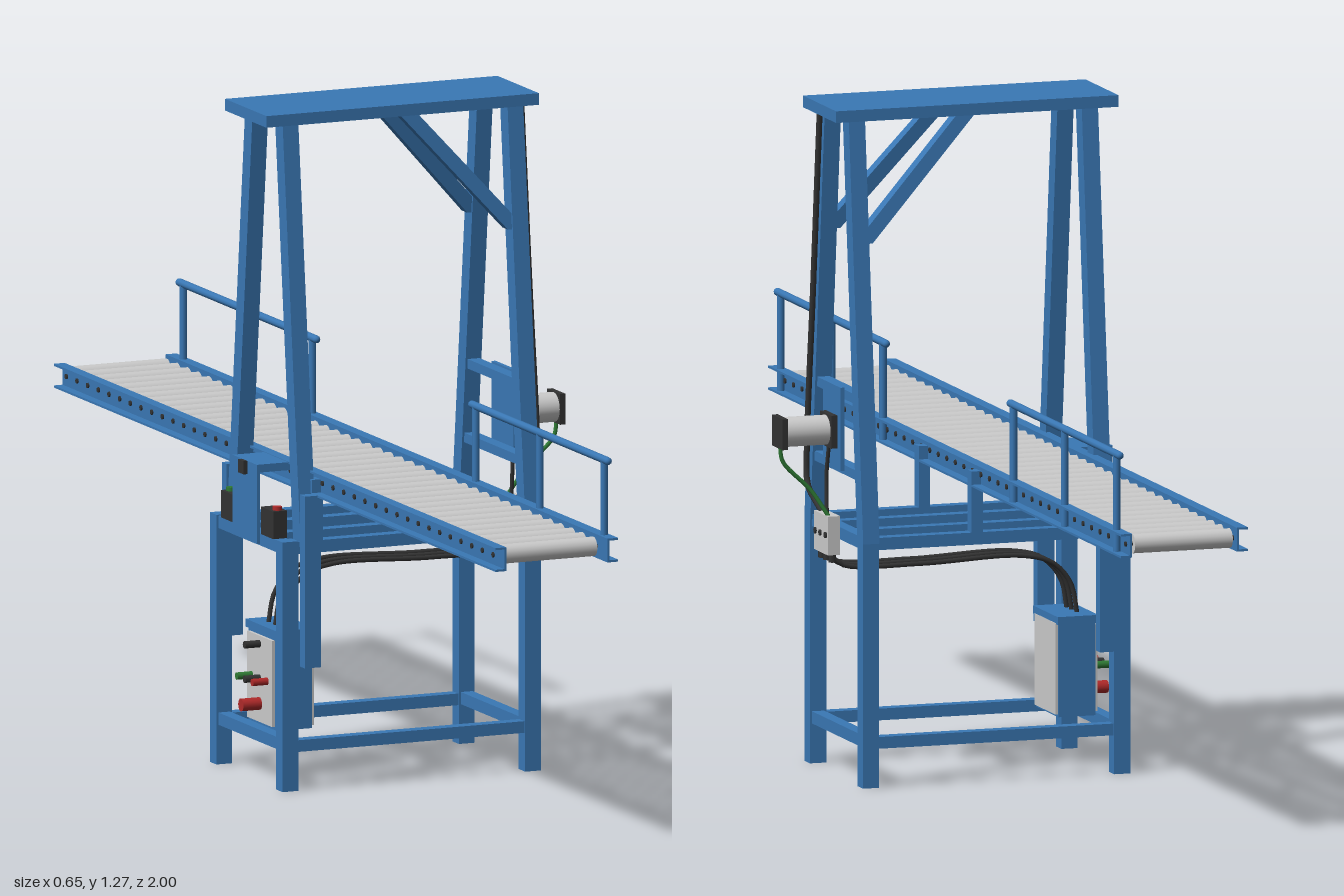
import * as THREE from 'three';

const mat = (color) => new THREE.MeshStandardMaterial({ color });
const blue = mat(0x3a78b5), grey = mat(0xcccccc), dark = mat(0x333333);
const red = mat(0xb02a2a), green = mat(0x2f7a35);
const ZC = 0.007; // centre of the portal frame along z

export function createModel() {
  const model = new THREE.Group();
  model.name = 'rollerConveyorWithPortal';

  const add = (name, geo, material, parent = model) => {
    const m = new THREE.Mesh(geo, material);
    m.name = name;
    parent.add(m);
    return m;
  };
  const group = (name) => {
    const g = new THREE.Group();
    g.name = name;
    model.add(g);
    return g;
  };
  // box given by its limits
  const box = (name, x0, x1, y0, y1, z0, z1, material = blue, parent = model) => {
    const m = add(name, new THREE.BoxGeometry(x1 - x0, y1 - y0, z1 - z0), material, parent);
    m.position.set((x0 + x1) / 2, (y0 + y1) / 2, (z0 + z1) / 2);
    return m;
  };
  // leaning beam with level ends, from bottom point a to top point b
  const lean = (name, a, b, w, d, parent) => {
    const geo = new THREE.BoxGeometry(w, b[1] - a[1], d);
    const p = geo.attributes.position;
    for (let i = 0; i < p.count; i++) {
      const e = p.getY(i) > 0 ? b : a;
      p.setXYZ(i, p.getX(i) + e[0], e[1], p.getZ(i) + e[2]);
    }
    geo.computeVertexNormals();
    return add(name, geo, blue, parent);
  };
  const cylX = (name, x0, x1, y, z, r, material, parent, sides = 16) => {
    const m = add(name, new THREE.CylinderGeometry(r, r, x1 - x0, sides), material, parent);
    m.rotation.z = Math.PI / 2;
    m.position.set((x0 + x1) / 2, y, z);
    return m;
  };
  const cable = (name, pts, r, material, parent) => add(name, new THREE.TubeGeometry(
    new THREE.CatmullRomCurve3(pts.map((p) => new THREE.Vector3(...p)), false, 'centripetal'), 40, r, 8), material, parent);
  const legZ = (y) => 0.150 - (y - 0.46) * 0.1045; // offset of leaning leg from ZC

  // Portal frame: feet, leaning legs, braces and rails
  const frame = group('portalFrame');
  for (const s of [-1, 1]) {
    const z = ZC + s * 0.15;
    for (const x of [-0.298, 0.196]) {
      box('lowerLeg', x - 0.016, x + 0.016, 0, 0.472, z - 0.015, z + 0.015, blue, frame);
    }
    for (const x of [-0.262, 0.196]) {
      lean('leaningLeg', [x, 0.46, ZC + s * legZ(0.46)], [x, 1.245, ZC + s * legZ(1.245)], 0.032, 0.034, frame);
    }
    lean('diagonalBrace', [0.19, 1.015, ZC + s * legZ(1.015)], [-0.02, 1.245, ZC + s * legZ(1.245)], 0.036, 0.026, frame);
    box('lowerLongRail', -0.29, 0.19, 0.073, 0.095, z - 0.012, z + 0.012, blue, frame);
    box('upperLongRail', -0.29, 0.19, 0.447, 0.470, z - 0.012, z + 0.012, blue, frame);
    box('innerRail', -0.29, 0.19, 0.447, 0.470, ZC + s * 0.055 - 0.012, ZC + s * 0.055 + 0.012, blue, frame);
    // hanging side post outside the frame
    box('sidePost', -0.279, -0.246, 0.235, 0.56, ZC + s * 0.177 - 0.011, ZC + s * 0.177 + 0.011, blue, frame);
    // conveyor supports standing on the upper rails
    for (const x of [-0.242, -0.014]) {
      box('conveyorSupport', x - 0.011, x + 0.011, 0.447, 0.585, z - 0.012, z + 0.012, blue, frame);
    }
  }
  for (const x of [-0.298, 0.196]) {
    box('lowerCrossRail', x - 0.012, x + 0.012, 0.075, 0.098, ZC - 0.14, ZC + 0.14, blue, frame);
    box('upperCrossRail', x - 0.012, x + 0.012, 0.447, 0.470, ZC - 0.14, ZC + 0.14, blue, frame);
  }
  box('topPlate', -0.315, 0.24, 1.244, 1.266, ZC - 0.094, ZC + 0.094, blue, frame);
  for (const y of [0.573, 0.715]) {
    const w = legZ(y);
    box('motorCrossBar', 0.184, 0.208, y, y + 0.018, ZC - w, ZC + w, blue, frame);
  }

  // Conveyor: C channels, rollers and axle ends
  const conveyor = group('rollerConveyor');
  const channel = new THREE.Shape([[0, 0], [0.022, 0], [0.022, 0.004], [0.004, 0.004],
    [0.004, 0.041], [0.022, 0.041], [0.022, 0.045], [0, 0.045]].map((p) => new THREE.Vector2(...p)));
  const channelGeo = new THREE.ExtrudeGeometry(channel, { depth: 2, bevelEnabled: false });
  add('rightChannel', channelGeo, blue, conveyor).position.set(-0.025, 0.556, -1);
  const leftChannel = add('leftChannel', channelGeo, blue, conveyor);
  leftChannel.rotation.y = Math.PI;
  leftChannel.position.set(-0.231, 0.556, 1);
  for (let i = 0; i < 41; i++) {
    const z = -0.98 + i * 0.0483;
    cylX('roller', -0.224, -0.032, 0.579, z, 0.0185, grey, conveyor);
    cylX('axle', -0.238, -0.018, 0.579, z, 0.005, dark, conveyor, 8);
  }

  // Handrails on the right channel, on both sides of the portal
  const rails = group('handrails');
  for (const [z0, z1, posts] of [[0.355, 0.985, [0.38, 0.67, 0.96]], [-0.97, -0.335, [-0.945, -0.65, -0.36]]]) {
    const bar = add('handrailBar', new THREE.CapsuleGeometry(0.0075, z1 - z0 - 0.015, 4, 10), blue, rails);
    bar.rotation.x = Math.PI / 2;
    bar.position.set(-0.014, 0.743, (z0 + z1) / 2);
    for (const z of posts) {
      const post = add('handrailPost', new THREE.CylinderGeometry(0.007, 0.007, 0.185, 10), blue, rails);
      post.position.set(-0.014, 0.65, z);
    }
  }

  // Motor on its plate
  const motor = group('motor');
  box('motorPlate', 0.208, 0.216, 0.58, 0.737, ZC - 0.05, ZC + 0.05, blue, motor);
  box('motorFlange', 0.216, 0.228, 0.62, 0.682, ZC - 0.032, ZC + 0.032, dark, motor);
  cylX('motorBody', 0.228, 0.315, 0.651, ZC, 0.028, grey, motor, 24);
  box('motorEndCap', 0.312, 0.323, 0.622, 0.68, ZC - 0.03, ZC + 0.03, dark, motor);

  // Junction box with cable glands
  const junction = group('junctionBox');
  box('junctionHousing', 0.212, 0.236, 0.42, 0.493, ZC - 0.036, ZC + 0.044, grey, junction);
  for (const dz of [-0.025, 0.005, 0.033]) {
    cylX('junctionScrew', 0.234, 0.239, 0.457, ZC + dz, 0.006, dark, junction, 8);
    const gland = add('cableGland', new THREE.CylinderGeometry(0.007, 0.007, 0.016, 6), dark, junction);
    gland.position.set(0.224, 0.413, ZC + dz);
  }

  // Control cabinet on the left
  const cabinet = group('controlCabinet');
  box('cabinetHousing', -0.281, -0.208, 0.095, 0.27, ZC - 0.062, ZC + 0.062, blue, cabinet);
  box('cabinetLid', -0.284, -0.204, 0.27, 0.285, ZC - 0.07, ZC + 0.07, blue, cabinet);
  box('cabinetBackPanel', -0.208, -0.203, 0.1, 0.272, ZC - 0.06, ZC + 0.06, grey, cabinet);
  box('cabinetDoor', -0.287, -0.281, 0.102, 0.265, ZC - 0.056, ZC + 0.056, grey, cabinet);
  cylX('mainSwitch', -0.325, -0.287, 0.137, ZC, 0.012, red, cabinet);
  for (const [y, dz, c] of [[0.185, -0.035, green], [0.185, 0, dark], [0.185, 0.035, red], [0.25, 0, dark]]) {
    cylX('cabinetButton', -0.318, -0.287, y, ZC + dz, 0.007, c, cabinet, 12);
  }

  // Drive cover at the left side, with a push-button station on each side
  const station = group('leftStation');
  box('coverPlate', -0.317, -0.311, 0.45, 0.6, ZC - 0.055, ZC + 0.055, blue, station);
  box('coverTop', -0.317, -0.25, 0.585, 0.6, ZC - 0.055, ZC + 0.055, blue, station);
  box('coverSensor', -0.325, -0.317, 0.575, 0.6, ZC - 0.012, ZC + 0.012, dark, station);
  for (const s of [-1, 1]) {
    box('buttonBox', -0.312, -0.284, 0.47, 0.522, ZC + s * 0.09 - 0.028, ZC + s * 0.09 + 0.028, dark, station);
    const b = add('pushButton', new THREE.CylinderGeometry(0.009, 0.009, 0.008, 12), s > 0 ? red : green, station);
    b.position.set(-0.298, 0.525, ZC + s * 0.105);
  }

  // Cables
  const cables = group('cables');
  cable('portalCable', [[0.217, 1.244, 0.072], [0.217, 0.9, 0.11], [0.217, 0.6, 0.145], [0.218, 0.53, 0.14],
    [0.222, 0.505, 0.08], [0.224, 0.49, 0.035]], 0.006, dark, cables);
  cable('motorCable', [[0.318, 0.625, ZC], [0.312, 0.595, ZC], [0.26, 0.54, 0], [0.228, 0.49, -0.012]], 0.004, green, cables);
  cable('motorPowerCable', [[0.222, 0.62, ZC], [0.222, 0.56, 0.02], [0.224, 0.49, 0.012]], 0.004, dark, cables);
  for (const dz of [-0.025, 0.005, 0.033]) {
    const z = ZC + dz;
    cable('cabinetCable', [[0.224, 0.415, z], [0.2, 0.398, z], [0.05, 0.393, z], [-0.15, 0.397, z],
      [-0.21, 0.38, z], [-0.245, 0.34, z], [-0.258, 0.28, z]], 0.0045, dark, cables);
  }
  return model;
}
